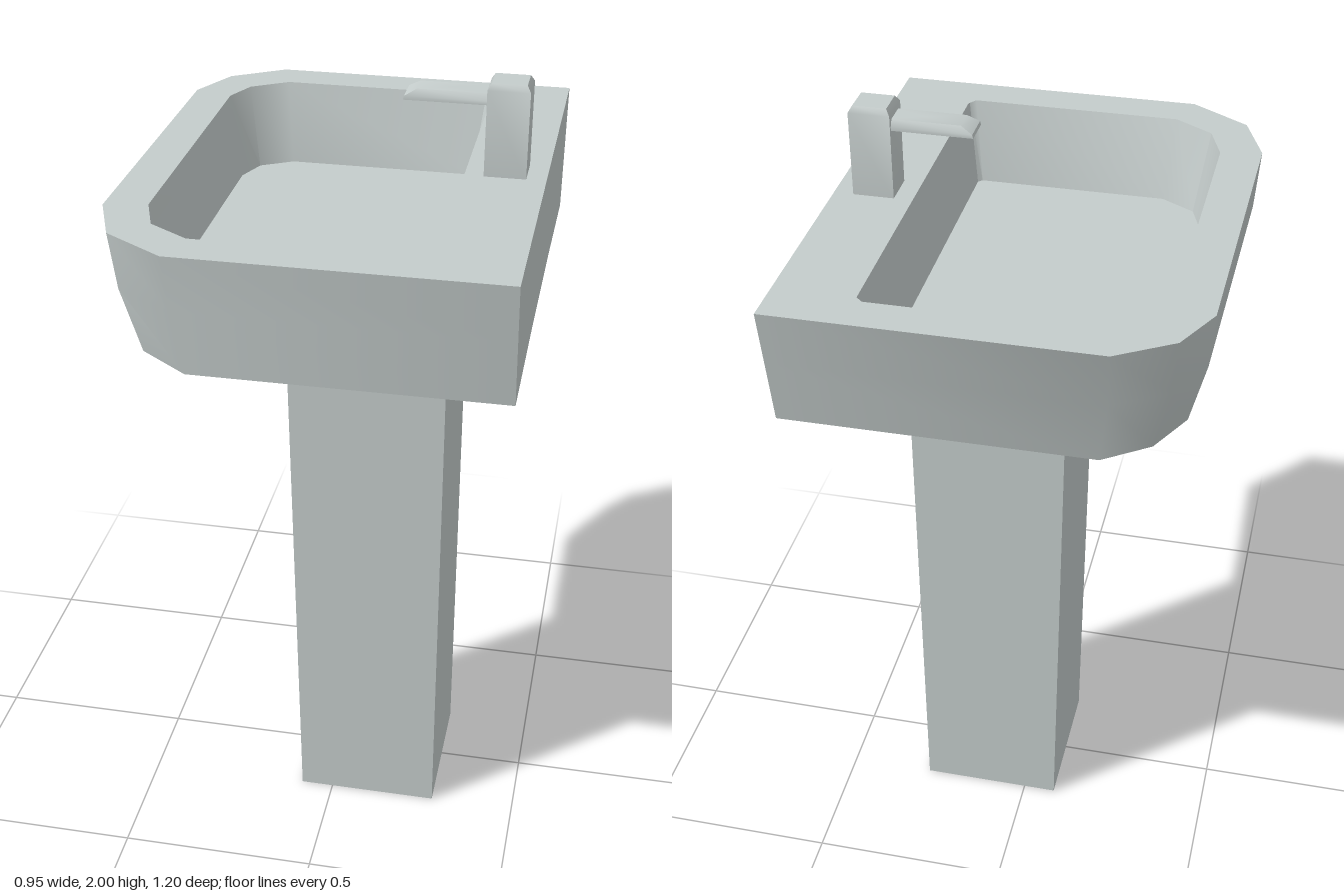
import * as THREE from 'three';
import { toCreasedNormals } from 'three/addons/utils/BufferGeometryUtils.js';

// Skin a stack of equal-length rings of [x, y, z] points, closing both ends with a fan.
function loft(rings) {
  const pos = [];
  const tri = (a, b, c) => pos.push(...a, ...b, ...c);
  const n = rings[0].length;
  const centre = (ring) => [0, 1, 2].map((k) => ring.reduce((s, p) => s + p[k], 0) / n);
  const first = centre(rings[0]);
  const last = centre(rings[rings.length - 1]);
  for (let i = 0; i < n; i++) {
    const j = (i + 1) % n;
    for (let r = 0; r < rings.length - 1; r++) {
      const [a, b, c, d] = [rings[r][i], rings[r][j], rings[r + 1][j], rings[r + 1][i]];
      tri(a, c, b);
      tri(a, d, c);
    }
    tri(first, rings[0][i], rings[0][j]);
    tri(last, rings[rings.length - 1][j], rings[rings.length - 1][i]);
  }
  const geo = new THREE.BufferGeometry();
  geo.setAttribute('position', new THREE.Float32BufferAttribute(pos, 3));
  return toCreasedNormals(geo, THREE.MathUtils.degToRad(35));
}

// Horizontal rectangle as a ring
const rect = (y, x0, x1, z0, z1) => [[x0, y, z0], [x1, y, z0], [x1, y, z1], [x0, y, z1]];
// Flat outline of [x, z] points lifted to height y
const level = (outline, y) => outline.map(([x, z]) => [x, y, z]);

export function createModel() {
  const ceramic = new THREE.MeshStandardMaterial({ color: 0xc4cccb });
  ceramic.name = 'ceramic grey';
  const model = new THREE.Group();
  model.name = 'pedestalSink';
  const add = (name, rings) => {
    const mesh = new THREE.Mesh(loft(rings), ceramic);
    mesh.name = name;
    model.add(mesh);
  };

  // Basin outlines: straight back at +x, chamfered corners at -x
  const underside = [[-0.255, -0.545], [0.475, -0.545], [0.475, -0.2], [0.475, 0.2], [0.475, 0.547],
    [-0.255, 0.547], [-0.373, 0.465], [-0.431, 0.33], [-0.42, -0.365], [-0.36, -0.475]];
  const rim = [[-0.28, -0.6], [0.475, -0.6], [0.475, -0.2], [0.475, 0.2], [0.475, 0.597],
    [-0.28, 0.597], [-0.425, 0.505], [-0.48, 0.36], [-0.47, -0.4], [-0.41, -0.52]];
  const bowlTop = [[-0.25, -0.505], [0.27, -0.505], [0.285, -0.49], [0.285, 0.49], [0.27, 0.5],
    [-0.25, 0.5], [-0.345, 0.44], [-0.38, 0.34], [-0.375, -0.375], [-0.34, -0.45]];
  const bowlFloor = [[-0.23, -0.455], [0.245, -0.455], [0.255, -0.445], [0.255, 0.44], [0.245, 0.45],
    [-0.23, 0.45], [-0.315, 0.4], [-0.345, 0.315], [-0.34, -0.335], [-0.31, -0.41]];

  // The underside arches up slightly towards the middle
  const bottom = underside.map(([x, z]) => {
    const rise = Math.min(1, (0.547 - Math.abs(z)) / 0.345);
    return [x, 1.475 + 0.013 * rise, z];
  });
  // Belly of the front face, bulging a little beyond a straight taper
  const belly = rim.map(([x, z], i) => {
    const u = underside[i];
    return [x + (u[0] - x) * 0.22, 1.64, z + (u[1] - z) * 0.46];
  });
  add('basin', [bottom, belly, level(rim, 1.78), level(bowlTop, 1.78), level(bowlFloor, 1.58)]);

  // Tapered column
  add('pedestal', [rect(0, -0.085, 0.28, -0.175, 0.192), rect(1.49, -0.11, 0.28, -0.175, 0.192)]);

  // Tap body with bevelled top
  add('tapBody', [
    rect(1.775, 0.33, 0.428, -0.052, 0.037),
    rect(1.985, 0.33, 0.428, -0.052, 0.037),
    rect(2.0, 0.339, 0.419, -0.043, 0.028),
  ]);

  // Flat spout with sloped tip and bevelled upper edges
  add('spout', [
    rect(1.948, 0.138, 0.335, -0.045, 0.029),
    rect(1.957, 0.14, 0.335, -0.045, 0.029),
    rect(1.973, 0.168, 0.335, -0.036, 0.02),
  ]);

  return model;
}
